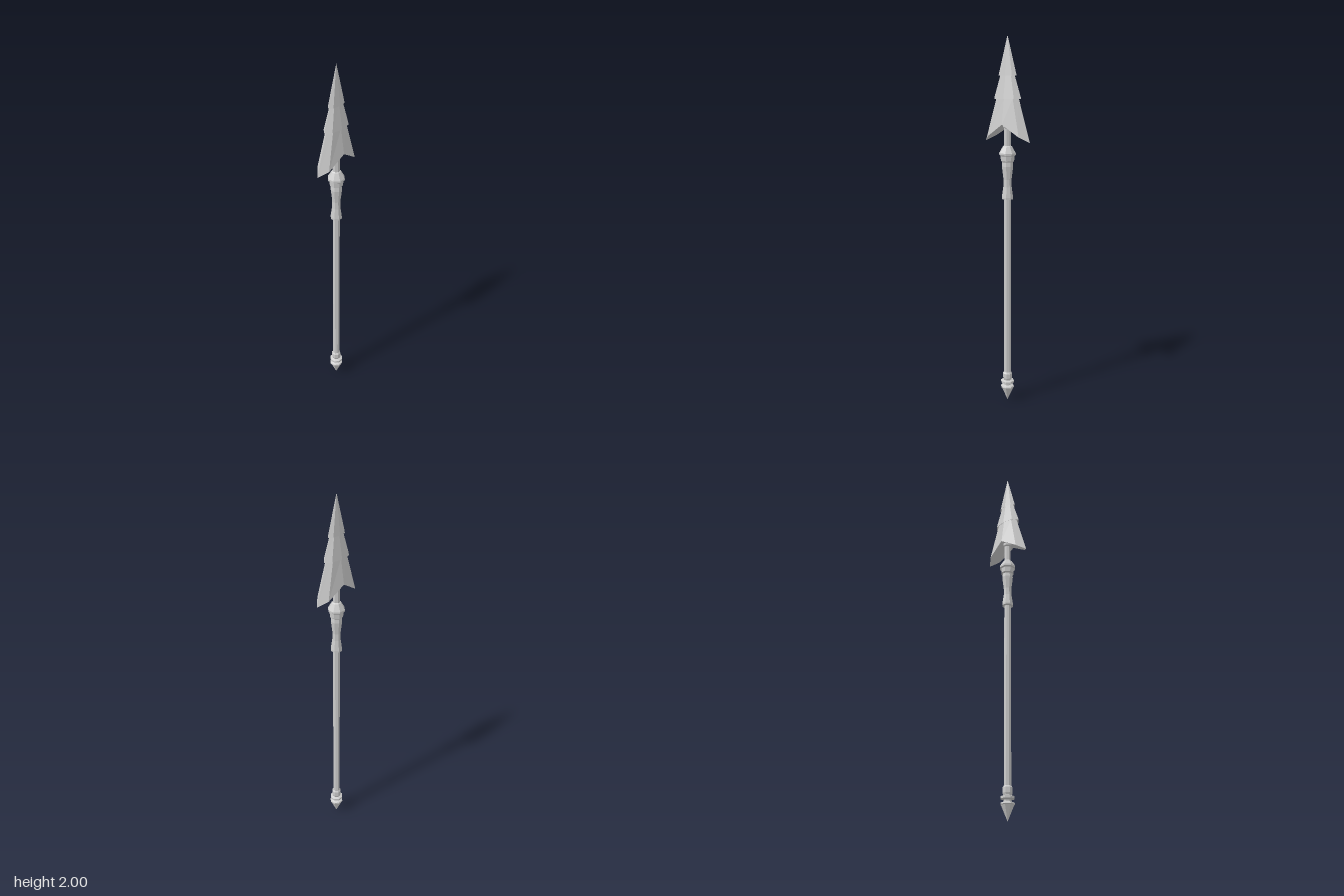
import * as THREE from 'three';

const SIDES = 8;
const material = new THREE.MeshStandardMaterial({ color: 0xcccccc, flatShading: true });

// Eight-sided turned part; profile is [radius, y] from bottom to top
function turned(name, profile) {
  const points = profile.map(([r, y]) => new THREE.Vector2(r, y));
  const mesh = new THREE.Mesh(new THREE.LatheGeometry(points, SIDES, Math.PI / SIDES), material);
  mesh.name = name;
  return mesh;
}

// Flattened octagon: half width w, half depth d, side points lowered by drop
function bladeRing([y, w, d, drop = 0]) {
  const outline = [[1, 0], [0.69, 0.76], [0, 1], [-0.69, 0.76], [-1, 0], [-0.69, -0.76], [0, -1], [0.69, -0.76]];
  return outline.map(([x, z]) => [x * w, y - drop * Math.abs(x), z * d]);
}

// Skin stacked rings, listed bottom to top
function skin(name, sections) {
  const rings = sections.map(bladeRing);
  const positions = [];
  for (let k = 0; k < rings.length - 1; k++) {
    for (let i = 0; i < SIDES; i++) {
      const j = (i + 1) % SIDES;
      const [a, b, c, d] = [rings[k][i], rings[k][j], rings[k + 1][i], rings[k + 1][j]];
      positions.push(...a, ...c, ...b, ...c, ...d, ...b);
    }
  }
  const geometry = new THREE.BufferGeometry();
  geometry.setAttribute('position', new THREE.Float32BufferAttribute(positions, 3));
  geometry.computeVertexNormals();
  const mesh = new THREE.Mesh(geometry, material);
  mesh.name = name;
  return mesh;
}

export function createModel() {
  const group = new THREE.Group();
  group.name = 'spear';

  // Three-tiered barbed head, with stepped undersides
  group.add(skin('spearHead', [
    [1.555, 0.015, 0.015],
    [1.55, 0.142, 0.05, 0.09],
    [1.685, 0.071, 0.03],
    [1.68, 0.087, 0.037],
    [1.802, 0.045, 0.018],
    [1.797, 0.058, 0.023],
    [2, 0, 0],
  ]));

  // Neck under the head
  group.add(turned('neck', [[0.019, 1.42], [0.019, 1.53], [0.025, 1.535], [0.025, 1.55], [0, 1.56]]));

  // Flared collar
  group.add(turned('collar', [
    [0.026, 1.35], [0.036, 1.358], [0.038, 1.385], [0.045, 1.39], [0.045, 1.4], [0.025, 1.435], [0.018, 1.44],
  ]));

  // Waisted grip
  group.add(turned('grip', [
    [0.018, 1.152], [0.031, 1.155], [0.031, 1.165], [0.023, 1.22], [0.022, 1.26], [0.031, 1.33], [0.028, 1.358],
  ]));

  group.add(turned('shaft', [[0.0195, 0.12], [0.0195, 1.16]]));

  // Ringed foot with a pointed end
  group.add(turned('footSpike', [
    [0, 0], [0.034, 0.078], [0.038, 0.082], [0.036, 0.088], [0.02, 0.094], [0.02, 0.102],
    [0.037, 0.108], [0.037, 0.119], [0.022, 0.124], [0.026, 0.136], [0.026, 0.162], [0.019, 0.172],
  ]));

  return group;
}
